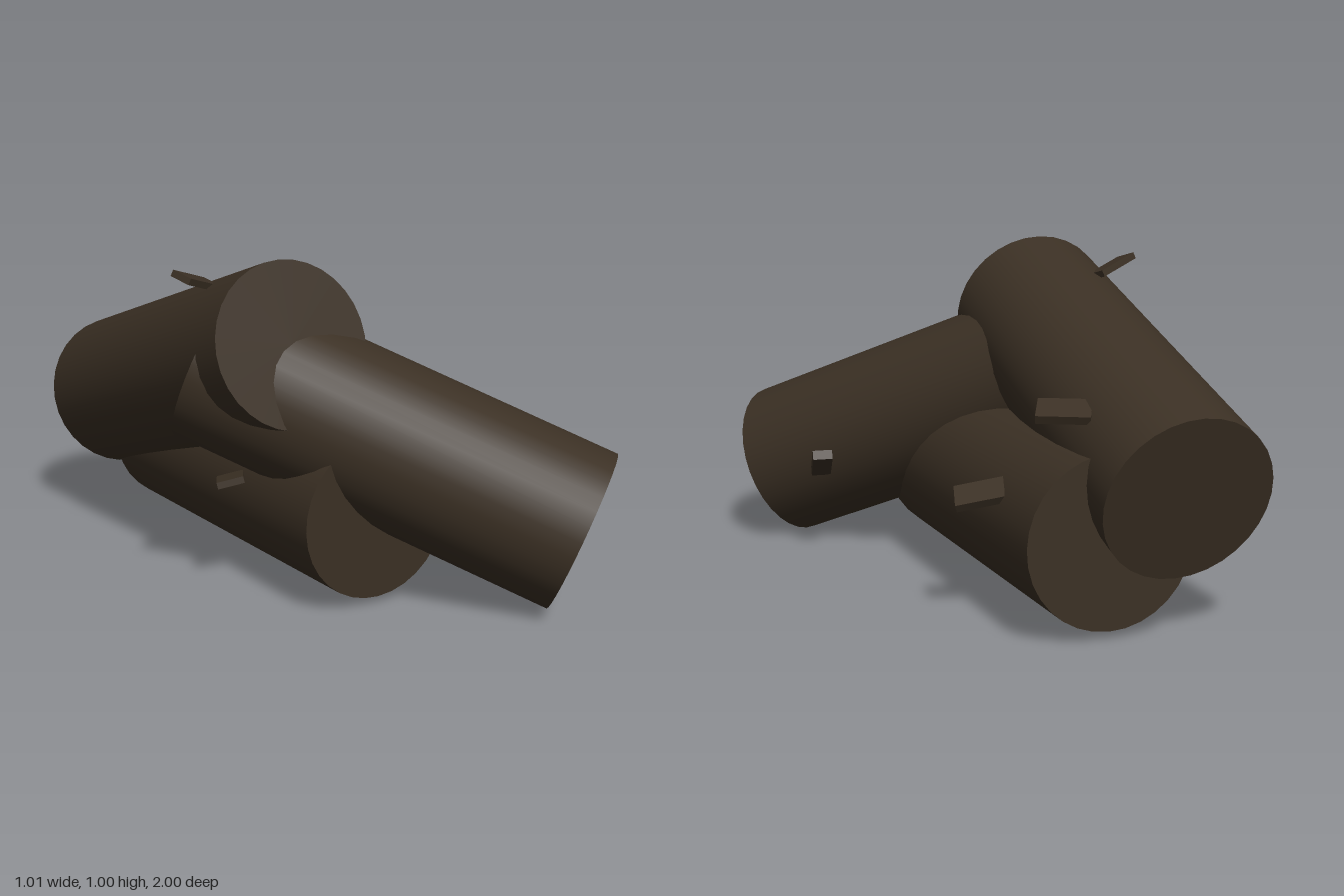
import * as THREE from 'three';

const V = (p) => new THREE.Vector3(...p);

export function createModel() {
  const group = new THREE.Group();
  group.name = 'logPile';
  const bark = new THREE.MeshStandardMaterial({ color: 0x3b3024 });
  bark.name = 'darkBark';

  // Round log between the centres of its two cut ends
  function log(name, from, to) {
    const a = V(from), b = V(to);
    const mesh = new THREE.Mesh(new THREE.CylinderGeometry(0.246, 0.246, a.distanceTo(b), 32), bark);
    mesh.quaternion.setFromUnitVectors(new THREE.Vector3(0, 1, 0), b.clone().sub(a).normalize());
    mesh.position.copy(a).lerp(b, 0.5);
    mesh.name = name;
    group.add(mesh);
  }

  // Flat bark chip: long edge and side edge directions give its orientation
  function chip(name, center, long, side, size) {
    const x = V(long).normalize();
    const y = new THREE.Vector3().crossVectors(V(side), x).normalize();
    const z = new THREE.Vector3().crossVectors(x, y);
    const mesh = new THREE.Mesh(new THREE.BoxGeometry(...size), bark);
    mesh.quaternion.setFromRotationMatrix(new THREE.Matrix4().makeBasis(x, y, z));
    mesh.position.set(...center);
    mesh.name = name;
    group.add(mesh);
  }

  // Three leaning logs
  log('frontLog', [0.18, 0.232, 0.873], [-0.25, 0.68, -0.153]);
  log('upperLog', [-0.276, 0.771, 0.172], [0.157, 0.4, -0.883]);
  log('groundLog', [-0.155, 0.27, 0.388], [0.272, 0.272, -0.715]);

  // Loose bark chips
  chip('upperLogSideChip', [0.3, 0.612, -0.56], [0.1, 0, 0.12], [-0.067, 0.04, 0.055], [0.15, 0.025, 0.085]);
  chip('upperLogTopChip', [-0.31, 0.925, -0.15], [-0.15, 0.045, 0.01], [0, -0.02, 0.07], [0.155, 0.02, 0.07]);
  chip('groundLogLeftChip', [0.425, 0.368, -0.36], [0.1, -0.03, 0.1], [-0.05, 0.04, 0.04], [0.14, 0.025, 0.08]);
  chip('groundLogRightChip', [-0.31, 0.345, -0.03], [-0.1, 0.02, 0.08], [0.03, 0.03, 0.1], [0.14, 0.02, 0.08]);
  chip('frontLogChip', [0.33, 0.3, 0.49], [-0.08, -0.09, 0.12], [0.04, -0.03, 0.08], [0.15, 0.03, 0.06]);

  return group;
}
